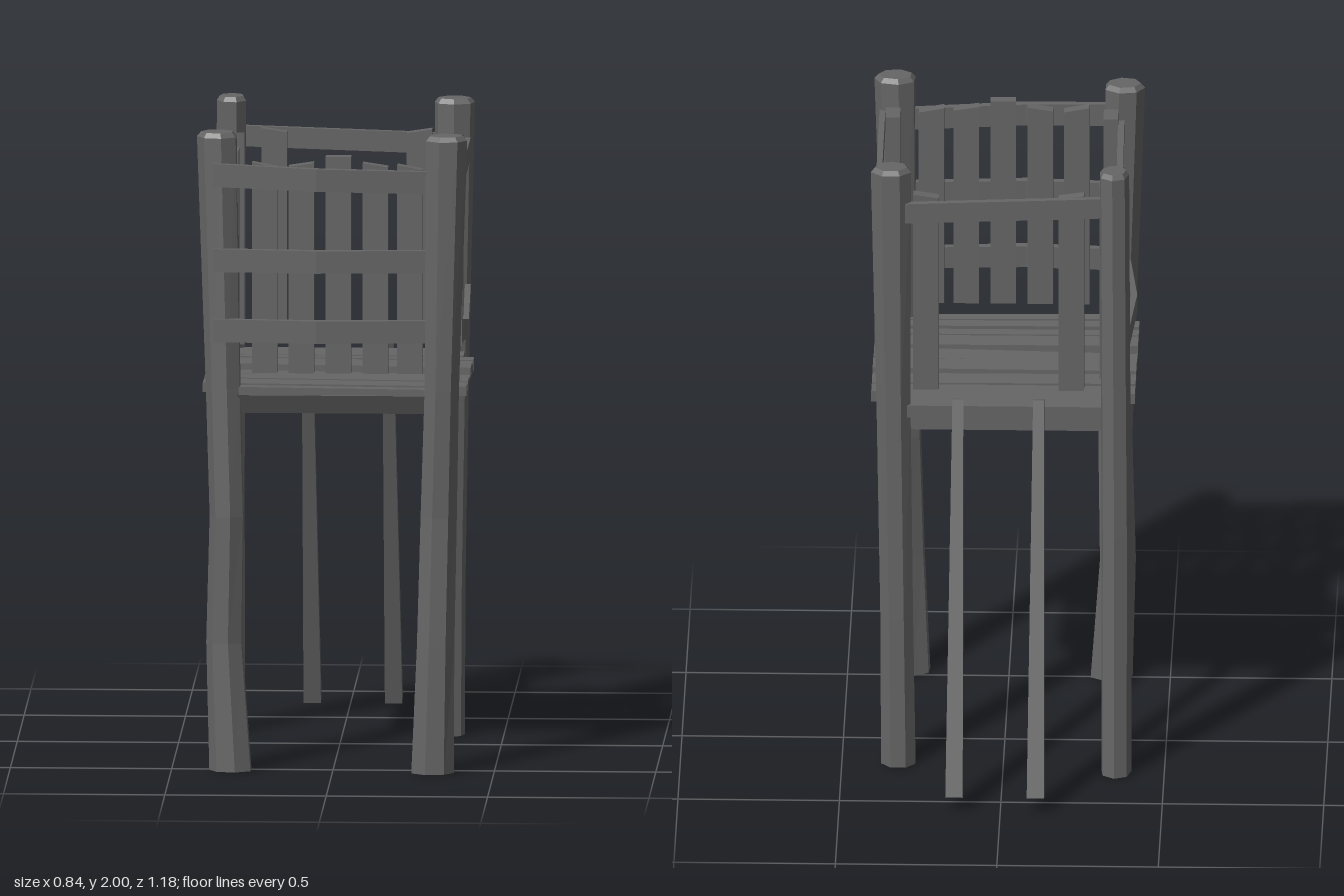
import * as THREE from 'three';

const wood = new THREE.MeshStandardMaterial({ color: 0x666666, flatShading: true });
wood.name = 'weathered wood';

// Closed solid through rings of points (counter-clockwise seen from the far end)
function loft(rings) {
  const pos = [];
  const tri = (a, b, c) => pos.push(...a, ...b, ...c);
  const n = rings[0].length;
  for (let i = 0; i < rings.length - 1; i++) {
    for (let j = 0; j < n; j++) {
      const k = (j + 1) % n, a = rings[i], b = rings[i + 1];
      tri(a[j], a[k], b[k]);
      tri(a[j], b[k], b[j]);
    }
  }
  const first = rings[0], last = rings[rings.length - 1];
  for (let j = 1; j < n - 1; j++) {
    tri(first[0], first[j + 1], first[j]);
    tri(last[0], last[j], last[j + 1]);
  }
  const g = new THREE.BufferGeometry();
  g.setAttribute('position', new THREE.Float32BufferAttribute(pos, 3));
  g.computeVertexNormals();
  return g;
}

const corners = [[1, 1], [-1, 1], [-1, -1], [1, -1]];

// Rough-hewn post from keys [y, x, z, radiusX, radiusZ]
function postGeometry(keys, turn) {
  const top = keys[keys.length - 1];
  const all = [...keys.slice(0, -1), [1.985, ...top.slice(1)], [2, top[1], top[2], top[3] * 0.8, top[4] * 0.8]];
  return loft(all.map(([y, x, z, rx, rz]) => Array.from({ length: 7 }, (_, j) => {
    const a = turn + (j / 7) * Math.PI * 2;
    return [x + Math.sin(a) * rx, y, z + Math.cos(a) * rz];
  })));
}

// Board along x: keys [x, y, z, height, depth]
const boardX = (keys) => loft(keys.map(([x, y, z, h, d]) =>
  corners.map(([u, v]) => [x, y + u * h / 2, z + v * d / 2])));

// Board along z: keys [z, x, y, width, height]
const boardZ = (keys) => loft(keys.map(([z, x, y, w, h]) =>
  corners.map(([u, v]) => [x + u * w / 2, y + v * h / 2, z])));

// Upright slat with a slanted top edge
function slatGeometry(x, z, w, d, top, slant) {
  const g = new THREE.BoxGeometry(w, top - 1.25, d).translate(x, (top + 1.25) / 2, z);
  const p = g.attributes.position;
  for (let i = 0; i < p.count; i++) {
    if (p.getY(i) > 1.5 && (p.getX(i) - x + p.getZ(i) - z) * slant > 0) p.setY(i, top - Math.abs(slant));
  }
  g.computeVertexNormals();
  return g;
}

export function createModel() {
  const model = new THREE.Group();
  model.name = 'watchtower';
  const add = (name, geometry) => {
    const m = new THREE.Mesh(geometry, wood);
    m.name = name;
    model.add(m);
  };

  // Four crooked corner posts
  add('frontRightPost', postGeometry([
    [0, -0.315, 0.515, 0.068, 0.052], [0.4, -0.335, 0.505, 0.058, 0.05], [0.8, -0.327, 0.515, 0.055, 0.052],
    [1.2, -0.338, 0.51, 0.056, 0.05], [2, -0.358, 0.497, 0.064, 0.052]], 0.2));
  add('frontLeftPost', postGeometry([
    [0, 0.308, 0.54, 0.068, 0.05], [0.4, 0.318, 0.54, 0.06, 0.05], [0.8, 0.327, 0.53, 0.058, 0.05],
    [1.2, 0.337, 0.54, 0.055, 0.05], [2, 0.352, 0.547, 0.066, 0.05]], 0.6));
  add('backRightPost', postGeometry([
    [0, -0.35, -0.252, 0.048, 0.055], [0.8, -0.35, -0.235, 0.048, 0.054],
    [1.3, -0.347, -0.22, 0.047, 0.053], [2, -0.343, -0.198, 0.047, 0.05]], 0.35));
  add('backLeftPost', postGeometry([
    [0, 0.325, -0.19, 0.055, 0.05], [0.5, 0.33, -0.192, 0.052, 0.048],
    [1.2, 0.34, -0.188, 0.054, 0.046], [2, 0.348, -0.182, 0.064, 0.048]], 0));

  // Bowed front rails
  [[1.872, 1.852], [1.605, 1.605], [1.385, 1.385]].forEach(([r, l], i) => add('frontRail' + (i + 1), boardX([
    [-0.368, r, 0.55, 0.072, 0.02], [-0.05, (r + l) / 2, 0.572, 0.07, 0.026], [0.3, l, 0.55, 0.07, 0.02]])));

  // Back rail
  add('backRail', boardX([[-0.34, 1.875, -0.195, 0.065, 0.02], [0.34, 1.852, -0.202, 0.065, 0.02]]));

  // Side rails: upper ones slope, lower ones bow or sag
  add('rightUpperRail', boardZ([[-0.16, -0.358, 1.85, 0.02, 0.065], [0.49, -0.348, 1.862, 0.02, 0.065]]));
  add('rightLowerRail', boardZ([[-0.155, -0.372, 1.385, 0.02, 0.065], [0.2, -0.395, 1.385, 0.02, 0.06],
    [0.5, -0.365, 1.385, 0.02, 0.065]]));
  add('leftUpperRail', boardZ([[-0.15, 0.39, 1.848, 0.018, 0.065], [0.52, 0.392, 1.862, 0.018, 0.065]]));
  add('leftLowerRail', boardZ([[-0.15, 0.39, 1.385, 0.018, 0.07], [0.27, 0.402, 1.35, 0.018, 0.06],
    [0.52, 0.392, 1.385, 0.018, 0.07]]));

  // Upright slats behind the rails
  [[-0.21, 1.91, 0.015], [-0.097, 1.91, -0.012], [0.018, 1.93, 0], [0.133, 1.91, 0.012], [0.24, 1.905, 0.015]]
    .forEach(([x, top, s], i) => add('frontSlat' + (i + 1), slatGeometry(x, 0.522, 0.079, 0.036, top, s)));
  for (const [side, x] of [['right', -0.318], ['left', 0.357]]) {
    add(side + 'FrontSlat', slatGeometry(x, 0.41, 0.045, 0.08, 1.93, 0));
    add(side + 'BackSlat', slatGeometry(x, -0.045, 0.045, 0.08, 1.915, -0.018));
  }
  add('backSlatRight', slatGeometry(-0.21, -0.163, 0.079, 0.035, 1.905, 0.012));
  add('backSlatLeft', slatGeometry(0.24, -0.163, 0.079, 0.035, 1.905, -0.012));

  // Floor beams: a wedge in front, a stepped beam behind
  add('frontBeam', loft([-0.34, 0.31].map((x) =>
    [[1.18, 0.54], [1.185, 0.47], [1.165, 0.45], [1.12, 0.455], [1.12, 0.51]]
      .map(([y, z]) => [x, y, 1.0 - z]).map(([a, y, z]) => [a, y, 0.99 - z + 0.01]).reverse())));
  add('backBeam', boardX([[-0.34, 1.16, -0.155, 0.08, 0.07], [0.36, 1.16, -0.155, 0.08, 0.07]]));
  add('backLedge', boardX([[-0.34, 1.188, -0.14, 0.04, 0.14], [0.38, 1.188, -0.14, 0.04, 0.14]]));

  // Uneven floor planks: [z at right, z at left, depth, y, thickness]
  [[-0.07, -0.055, 0.06, 1.188, 0.034], [0.018, 0.025, 0.076, 1.19, 0.028], [0.102, 0.124, 0.08, 1.197, 0.03],
    [0.196, 0.248, 0.076, 1.19, 0.014], [0.32, 0.33, 0.075, 1.188, 0.03], [0.39, 0.4, 0.04, 1.19, 0.024],
    [0.452, 0.458, 0.045, 1.19, 0.03], [0.515, 0.515, 0.04, 1.19, 0.025]]
    .forEach(([zr, zl, d, y, t], i) => add('floorPlank' + (i + 1), boardX([
      [i === 7 ? -0.34 : -0.405, y + 0.003, zr, t, d], [i === 7 ? 0.34 : 0.412, y - 0.003, zl, t, d]])));

  // Leaning props at the back, thicker at the foot
  for (const [side, topX, footX] of [['right', -0.11, -0.109], ['left', 0.14, 0.143]]) {
    add(side + 'Prop', loft([[0.045, footX, -0.565, 0.054, 0.05], [1.235, topX, -0.217, 0.034, 0.03]]
      .map(([y, x, z, w, d]) => corners.map(([u, v]) => [x + v * w / 2, y - u * d * 0.14, z + u * d / 2]))));
  }
  return model;
}
